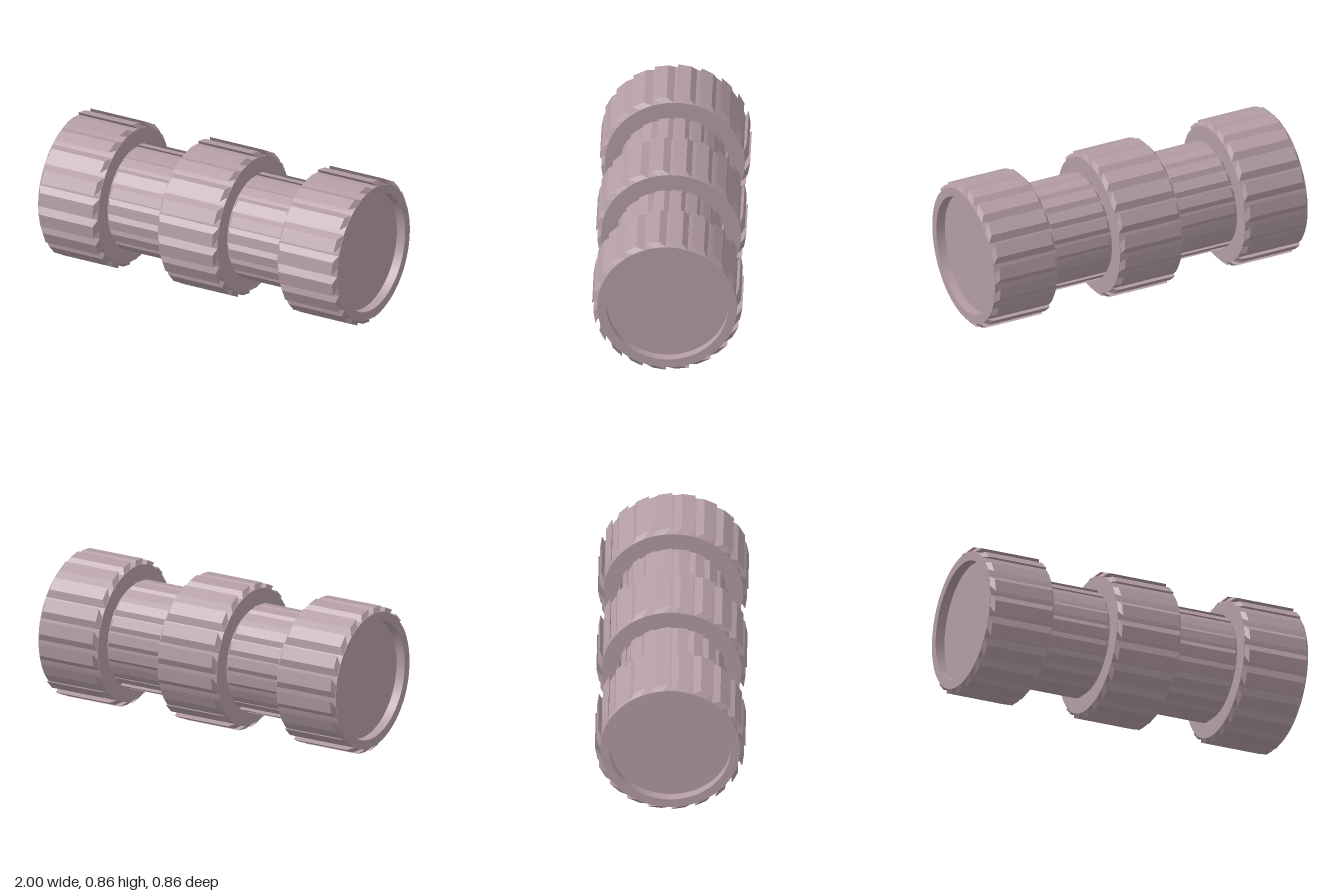
import * as THREE from 'three';
import { mergeGeometries, toCreasedNormals } from 'three/addons/utils/BufferGeometryUtils.js';

const WIDTH = 0.4, TEETH = 20, AXIS_Y = 0.429;

// One leaning ratchet tooth: a box whose corners move to polar positions around x
function toothGeometry(radius, turn) {
  const k = radius / 0.4;
  const g = new THREE.BoxGeometry(WIDTH, 1, 1);
  const p = g.attributes.position;
  for (let i = 0; i < p.count; i++) {
    const outer = p.getY(i) > 0, leading = p.getZ(i) > 0;
    const [r, deg] = outer
      ? (leading ? [0.43, 1.1] : [0.425, 11.5])
      : (leading ? [0.398, 7.5] : [0.398, 17.4]);
    const a = THREE.MathUtils.degToRad(deg) + turn;
    // The outer corners are drawn in to slope the tooth ends
    const x = Math.sign(p.getX(i)) * (WIDTH / 2 - (outer ? 0.022 : 0));
    p.setXYZ(i, x, r * k * Math.cos(a), -r * k * Math.sin(a));
  }
  g.computeVertexNormals();
  return g;
}

// Solid drum along x, with an optional round recess in its +x face
function drumGeometry(radius, recess) {
  const h = WIDTH / 2;
  const pts = [[0, -h], [radius, -h], [radius, h]];
  if (recess) pts.push([0.348, h], [0.348, h - recess], [0, h - recess]);
  else pts.push([0, h]);
  const g = new THREE.LatheGeometry(pts.map(([x, y]) => new THREE.Vector2(x, y)), 64);
  g.rotateZ(-Math.PI / 2);
  return toCreasedNormals(g, 0.5);
}

export function createModel() {
  const model = new THREE.Group();
  model.name = 'toothedRoller';
  const material = new THREE.MeshStandardMaterial({ color: 0xb39da3 });

  const addGear = (name, x, radius, recess = 0) => {
    const gear = new THREE.Group();
    gear.name = name;
    gear.position.set(x, AXIS_Y, 0);

    const drum = new THREE.Mesh(drumGeometry(radius, recess), material);
    drum.name = name + 'Drum';
    if (x < 0) drum.rotation.y = Math.PI; // recess faces outward

    const parts = [];
    for (let i = 0; i < TEETH; i++) parts.push(toothGeometry(radius, (i / TEETH) * Math.PI * 2));
    const teeth = new THREE.Mesh(mergeGeometries(parts), material);
    teeth.name = name + 'Teeth';

    gear.add(drum, teeth);
    model.add(gear);
  };

  // Three wide gears joined by two narrower ones
  addGear('leftGear', 0.8, 0.4, 0.055);
  addGear('leftNeck', 0.4, 0.295);
  addGear('middleGear', 0, 0.4);
  addGear('rightNeck', -0.4, 0.295);
  addGear('rightGear', -0.8, 0.4, 0.055);
  return model;
}
